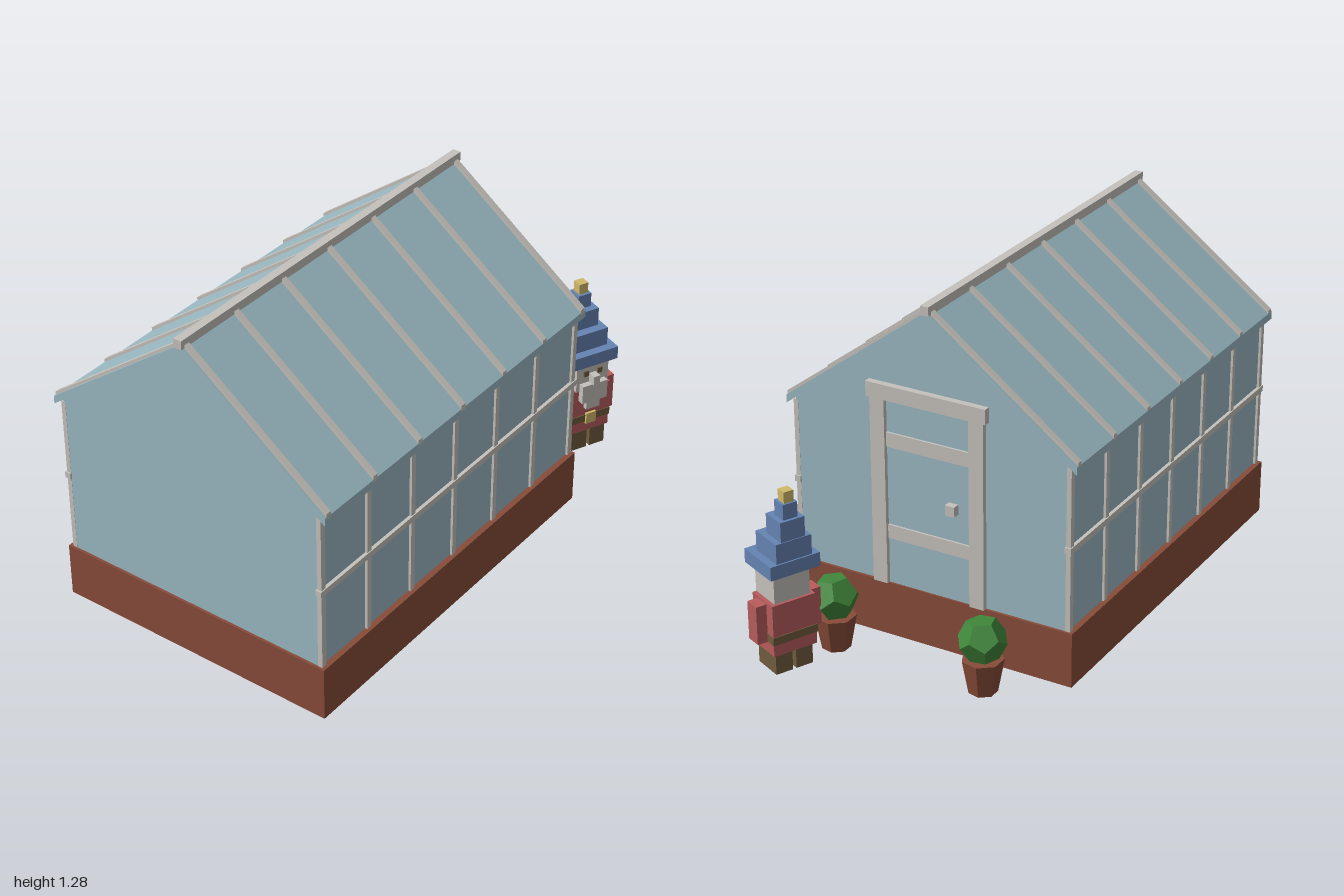
import * as THREE from 'three';

const mat = (name, color) => {
  const m = new THREE.MeshStandardMaterial({ color, flatShading: true });
  m.name = name;
  return m;
};

export function createModel() {
  const root = new THREE.Group();
  root.name = 'greenhouse';
  const glass = mat('glass', 0x9ab8c2);
  const brick = mat('brick', 0x874b39);
  const frame = mat('frame grey', 0xc5c1bb);
  const leaf = mat('leaf green', 0x40863a);
  const red = mat('tunic red', 0xb85c5c);
  const blue = mat('hat blue', 0x6583b3);
  const brown = mat('leather brown', 0x705c3f);
  const gold = mat('gold', 0xd0ba6a);

  const add = (parent, name, geo, material, x = 0, y = 0, z = 0) => {
    const m = new THREE.Mesh(geo, material);
    m.name = name;
    m.position.set(x, y, z);
    parent.add(m);
    return m;
  };
  // box given by centre x, bottom and top y, centre z
  const box = (parent, name, material, w, y0, y1, d, x, z) =>
    add(parent, name, new THREE.BoxGeometry(w, y1 - y0, d), material, x, (y0 + y1) / 2, z);
  // profile in (z, y), symmetric in z, extruded along x and centred on cx
  const extrudeX = (name, pts, length, material, cx) => {
    const shape = new THREE.Shape(pts.map(([a, b]) => new THREE.Vector2(a, b)));
    const geo = new THREE.ExtrudeGeometry(shape, { depth: length, bevelEnabled: false });
    geo.translate(0, 0, -length / 2).rotateY(Math.PI / 2);
    return add(root, name, geo, material, cx);
  };

  const CX = -0.23, SLOPE = 0.746, EAVE = 0.571;
  const chevron = (bottom, top) => {
    const drop = SLOPE * EAVE;
    return [[-EAVE, bottom - drop], [0, bottom], [EAVE, bottom - drop],
      [EAVE, top - drop], [0, top], [-EAVE, top - drop]];
  };

  // House shell
  box(root, 'brickBase', brick, 1.52, 0, 0.207, 1.12, CX, 0);
  const wallTop = 1.24 - SLOPE * 0.538;
  extrudeX('glassWalls', [[-0.538, 0.2], [0.538, 0.2], [0.538, wallTop], [0, 1.24], [-0.538, wallTop]],
    1.5, glass, CX);
  extrudeX('glassRoof', chevron(1.23, 1.26), 1.52, glass, CX);
  box(root, 'ridgeBeam', frame, 1.535, 1.25, 1.283, 0.032, CX, 0);

  // Rafters, wall posts and rails
  for (let i = 0; i < 7; i++) {
    const x = -0.97 + i * 0.2467;
    extrudeX('rafter', chevron(1.25, 1.273), 0.022, frame, x);
    for (const s of [-1, 1]) box(root, 'wallPost', frame, 0.022, 0.205, 0.82, 0.018, x, s * 0.538);
  }
  for (const s of [-1, 1]) box(root, 'wallRail', frame, 1.515, 0.505, 0.528, 0.024, CX, s * 0.539);

  // Door on the right-hand gable
  const door = new THREE.Group();
  door.name = 'door';
  root.add(door);
  box(door, 'doorPane', glass, 0.01, 0.207, 0.912, 0.33, 0.519, 0);
  for (const s of [-1, 1]) box(door, 'doorJamb', frame, 0.025, 0.207, 0.912, 0.057, 0.527, s * 0.194);
  box(door, 'doorLintel', frame, 0.035, 0.912, 0.968, 0.468, 0.527, 0);
  box(door, 'doorUpperRail', frame, 0.02, 0.734, 0.788, 0.326, 0.522, 0);
  box(door, 'doorLowerRail', frame, 0.02, 0.384, 0.436, 0.326, 0.522, 0);
  box(door, 'doorKnob', frame, 0.035, 0.542, 0.58, 0.037, 0.533, -0.097);

  // Potted shrubs either side of the door
  for (const z of [-0.308, 0.285]) {
    const plant = new THREE.Group();
    plant.name = 'pottedShrub';
    plant.position.set(0.692, 0, z);
    root.add(plant);
    add(plant, 'pot', new THREE.CylinderGeometry(0.075, 0.052, 0.127, 7), brick, 0, 0.0635, 0);
    const bush = new THREE.DodecahedronGeometry(0.086).rotateX(-0.5536);
    add(plant, 'bush', bush, leaf, 0, 0.197, 0).rotation.set(0.1, z > 0 ? 0.9 : 0.3, 0.06);
  }

  // Garden figure, turned toward the front of the house
  const figure = new THREE.Group();
  figure.name = 'gardenFigure';
  figure.position.set(0.872, 0, 0.37);
  figure.rotation.y = -0.425;
  root.add(figure);
  for (const s of [-1, 1]) {
    box(figure, 'leg', brown, 0.066, 0, 0.08, 0.115, s * 0.04, 0.005);
    box(figure, 'arm', red, 0.04, 0.125, 0.27, 0.058, s * 0.107, 0);
    box(figure, 'eye', brown, 0.02, 0.335, 0.357, 0.008, s * 0.03, 0.069);
  }
  box(figure, 'tunic', red, 0.17, 0.08, 0.275, 0.13, 0, 0);
  box(figure, 'belt', brown, 0.176, 0.125, 0.155, 0.137, 0, 0);
  box(figure, 'buckle', gold, 0.044, 0.117, 0.163, 0.01, 0, 0.071);
  box(figure, 'head', frame, 0.14, 0.27, 0.388, 0.122, 0, 0.006);
  box(figure, 'beard', frame, 0.11, 0.228, 0.305, 0.03, 0, 0.076);
  box(figure, 'beardTip', frame, 0.06, 0.19, 0.228, 0.02, 0, 0.073);
  box(figure, 'nose', frame, 0.028, 0.305, 0.343, 0.04, 0, 0.08);

  // Stepped hat leaning back: width, depth, bottom, top, lean
  [[0.194, 0.172, 0.386, 0.438, 0], [0.138, 0.132, 0.438, 0.512, -0.014],
    [0.094, 0.094, 0.512, 0.586, -0.03], [0.056, 0.056, 0.586, 0.643, -0.038],
    [0.038, 0.038, 0.643, 0.685, -0.04]].forEach(([w, d, y0, y1, z], i) =>
    box(figure, i < 4 ? 'hatTier' : 'hatTip', i < 4 ? blue : gold, w, y0, y1, d, 0, z));

  return root;
}
